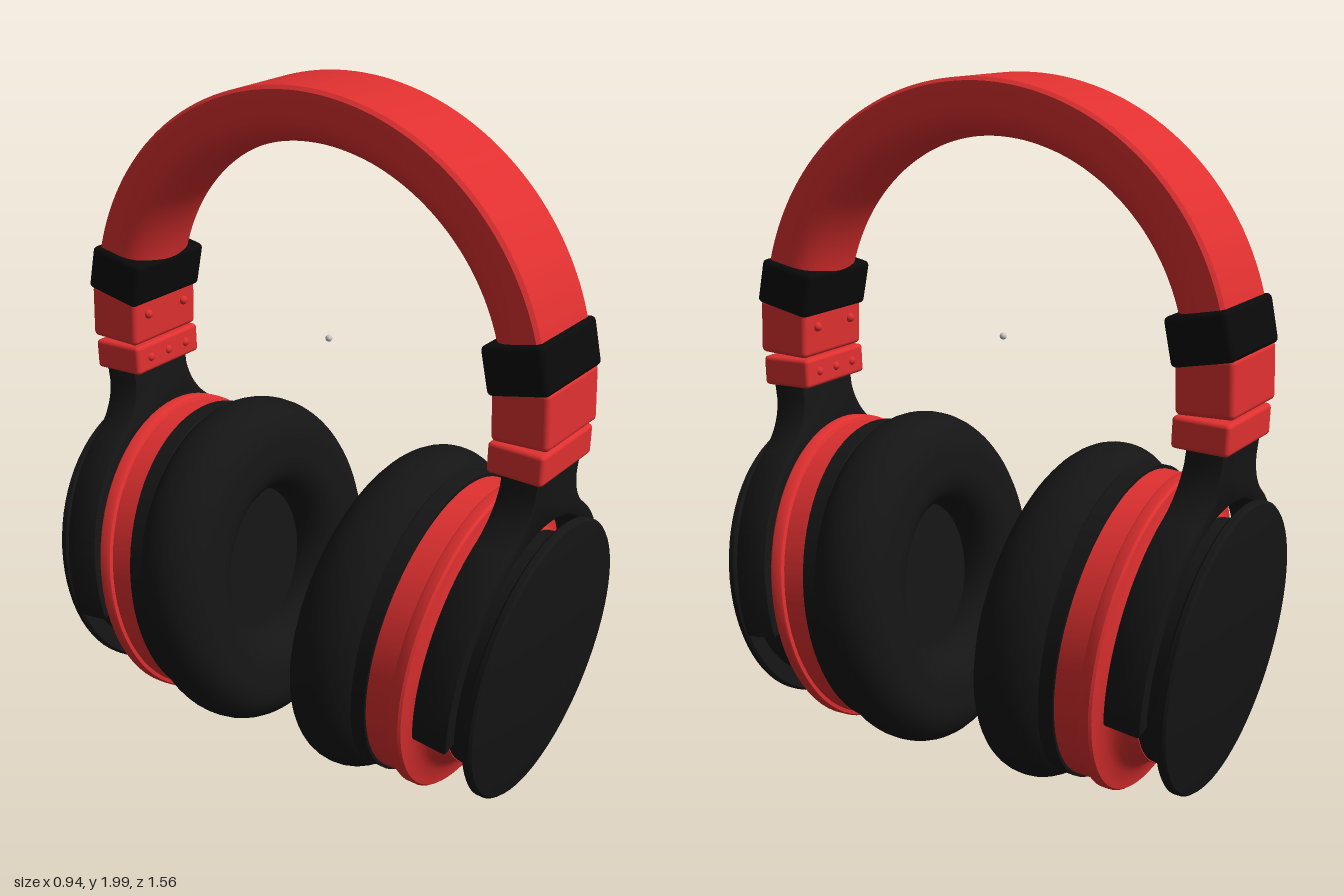
import * as THREE from 'three';
import { toCreasedNormals } from 'three/addons/utils/BufferGeometryUtils.js';
import { RoundedBoxGeometry } from 'three/addons/geometries/RoundedBoxGeometry.js';

const red = new THREE.MeshStandardMaterial({ color: 0xe03030 });
const black = new THREE.MeshStandardMaterial({ color: 0x151515 });
const darkBlack = new THREE.MeshStandardMaterial({ color: 0x0a0a0a });
const grey = new THREE.MeshStandardMaterial({ color: 0xcccccc });

function add(parent, name, geometry, material, x = 0, y = 0, z = 0, tilt = 0) {
  const mesh = new THREE.Mesh(geometry, material);
  mesh.name = name;
  mesh.position.set(x, y, z);
  mesh.rotation.x = tilt;
  parent.add(mesh);
  return mesh;
}

// Oval turned part about z: profile of [radius, z], narrowed in x, rising slightly outward
function ovalLathe(profile, xScale) {
  const g = new THREE.LatheGeometry(profile.map(([r, w]) => new THREE.Vector2(r, w)), 72);
  g.rotateX(Math.PI / 2);
  const p = g.attributes.position;
  for (let i = 0; i < p.count; i++) {
    p.setX(i, p.getX(i) * xScale);
    p.setY(i, p.getY(i) + 0.016 + 0.073 * p.getZ(i));
  }
  return toCreasedNormals(g, 0.6);
}

// Rounded closed profile for the soft cushion
function cushionProfile() {
  const [r0, r1, w0, w1, c] = [0.22, 0.5, 0.15, 0.38, 0.112];
  const corners = [[r1 - c, w0 + c, -90], [r1 - c, w1 - c, 0], [r0 + c, w1 - c, 90], [r0 + c, w0 + c, 180]];
  const pts = [];
  for (const [r, w, start] of corners) {
    for (let i = 0; i <= 8; i++) {
      const a = THREE.MathUtils.degToRad(start + i * 11.25);
      pts.push([r + c * Math.cos(a), w + c * Math.sin(a)]);
    }
  }
  pts.push(pts[0]);
  return pts;
}

// Fork that hugs the upper half of the cup and rises into a stem
function yokeGeometry() {
  const low = 0.235, join = 1.06, rx = 0.4, ry = 0.465;
  const jx = rx * Math.cos(join), jy = ry * Math.sin(join);
  const s = new THREE.Shape();
  s.absellipse(0, 0, rx, ry, -low, join, false);
  s.quadraticCurveTo(0.125, 0.46, 0.112, 0.54);
  s.lineTo(0.112, 0.62);
  s.lineTo(-0.112, 0.62);
  s.lineTo(-0.112, 0.54);
  s.quadraticCurveTo(-0.125, 0.46, -jx, jy);
  s.absellipse(0, 0, rx, ry, Math.PI - join, Math.PI + low, false);
  s.absellipse(0, 0, 0.37, 0.432, Math.PI + low, -low, true);
  const g = new THREE.ExtrudeGeometry(s, {
    depth: 0.094, curveSegments: 40, bevelSize: 0.008, bevelThickness: 0.008, bevelSegments: 2
  });
  return toCreasedNormals(g, 0.6);
}

// Headband: flat outside, padded inside, swept along an elliptical arch
function headbandGeometry() {
  const s = new THREE.Shape();
  s.moveTo(-0.125, 1);
  s.lineTo(0.125, 1);
  s.lineTo(0.135, 0.94);
  s.lineTo(0.135, 0.55);
  s.bezierCurveTo(0.135, 0.15, 0.08, 0, 0, 0);
  s.bezierCurveTo(-0.08, 0, -0.135, 0.15, -0.135, 0.55);
  s.lineTo(-0.135, 0.94);
  s.closePath();
  const section = s.getPoints(10);
  const n = section.length, steps = 72, pos = [], index = [];
  for (let i = 0; i <= steps; i++) {
    const t = 0.14 + (Math.PI - 0.28) * i / steps;
    for (const q of section) {
      pos.push(q.x, 1.26 + (0.575 + 0.165 * q.y) * Math.sin(t), (0.59 + 0.165 * q.y) * Math.cos(t));
    }
  }
  for (let i = 0; i < steps; i++) {
    for (let j = 0; j < n - 1; j++) {
      const a = i * n + j, b = a + 1, c = a + n, d = c + 1;
      index.push(a, b, c, b, d, c);
    }
  }
  const g = new THREE.BufferGeometry();
  g.setAttribute('position', new THREE.Float32BufferAttribute(pos, 3));
  g.setIndex(index);
  return toCreasedNormals(g, 0.5);
}

// One complete side: ear cup, yoke and slider
function createSide() {
  const side = new THREE.Group();
  const cup = new THREE.Group();
  cup.name = 'earCup';
  cup.position.y = 0.5;
  cup.rotation.x = THREE.MathUtils.degToRad(7);
  side.add(cup);

  add(cup, 'earCushion', ovalLathe(cushionProfile(), 0.942), black);
  add(cup, 'speakerCover', ovalLathe([[0, 0.27], [0.26, 0.27], [0.26, 0.33], [0, 0.33]], 0.942), black);
  add(cup, 'cushionMount', ovalLathe([[0.2, 0.35], [0.455, 0.35], [0.465, 0.36], [0.465, 0.41], [0, 0.41]], 0.892), black);
  add(cup, 'cupShell', ovalLathe([
    [0, 0.405], [0.455, 0.405], [0.455, 0.485], [0.466, 0.488], [0.47, 0.495], [0.47, 0.52], [0.464, 0.527],
    [0.445, 0.53], [0.41, 0.538], [0.385, 0.552], [0.368, 0.575], [0.36, 0.61], [0, 0.61]
  ], 0.894), red);
  add(cup, 'cupCore', ovalLathe([[0, 0.6], [0.356, 0.6], [0.368, 0.7], [0, 0.7]], 0.894), black);
  add(cup, 'outerDisc', ovalLathe([
    [0, 0.693], [0.42, 0.693], [0.427, 0.7], [0.427, 0.715], [0.42, 0.722], [0.3, 0.738], [0.15, 0.746], [0, 0.749]
  ], 0.892), black);
  add(cup, 'yoke', yokeGeometry(), black, 0, 0.061, 0.563);

  // Slider housing below the headband
  add(side, 'bandCollar', new RoundedBoxGeometry(0.3, 0.135, 0.182, 3, 0.015), darkBlack, 0, 1.368, 0.668, -0.2);
  add(side, 'upperSleeve', new RoundedBoxGeometry(0.28, 0.16, 0.168, 3, 0.015), red, 0, 1.243, 0.684, -0.03);
  add(side, 'lowerSleeve', new RoundedBoxGeometry(0.28, 0.088, 0.165, 3, 0.012), red, 0, 1.112, 0.677, 0.03);

  // Rivets on the inner face
  for (const [x, y] of [[-0.08, 1.25], [0.08, 1.25], [-0.08, 1.115], [0, 1.115], [0.08, 1.115]]) {
    add(side, 'rivet', new THREE.SphereGeometry(0.014, 12, 8), red, x, y, 0.599);
  }
  return side;
}

export function createModel() {
  const model = new THREE.Group();
  model.name = 'headphones';
  add(model, 'headband', headbandGeometry(), red);
  const front = createSide();
  front.name = 'frontSide';
  const back = createSide();
  back.name = 'backSide';
  back.rotation.y = Math.PI;
  model.add(front, back);
  // Tiny bead at the middle
  add(model, 'centreBead', new THREE.SphereGeometry(0.01, 12, 8), grey, 0, 1.275, 0);
  return model;
}
